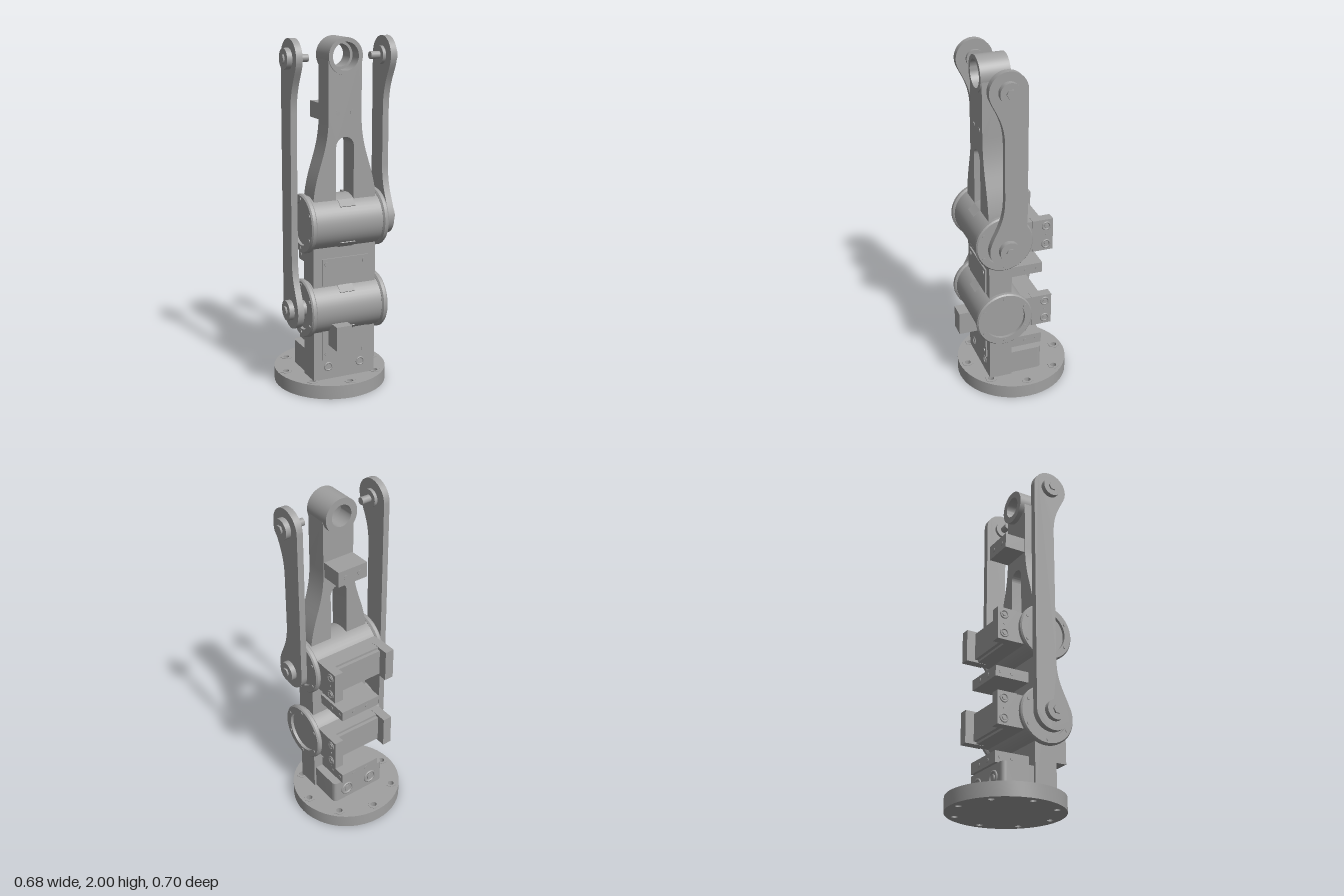
import * as THREE from 'three';
import { toCreasedNormals } from 'three/addons/utils/BufferGeometryUtils.js';

export function createModel() {
  const root = new THREE.Group();
  root.name = 'robotArm';
  // everything is built square to the joint axis (local x), then turned
  const arm = new THREE.Group();
  arm.name = 'turnedAssembly';
  arm.position.set(-0.008, 0, -0.025);
  arm.rotation.y = 1.093;
  root.add(arm);

  const metal = new THREE.MeshStandardMaterial({ color: 0xa0a0a0 });
  metal.name = 'grey metal';

  const add = (name, geo) => {
    const m = new THREE.Mesh(geo, metal);
    m.name = name;
    arm.add(m);
    return m;
  };
  const box = (name, x0, x1, y0, y1, z0, z1) =>
    add(name, new THREE.BoxGeometry(x1 - x0, y1 - y0, z1 - z0)
      .translate((x0 + x1) / 2, (y0 + y1) / 2, (z0 + z1) / 2));
  const rodX = (name, r, xa, xb, y, z, n = 32) =>
    add(name, new THREE.CylinderGeometry(r, r, Math.abs(xb - xa), n)
      .rotateZ(Math.PI / 2).translate((xa + xb) / 2, y, z));
  const rodZ = (name, r, x, y, za, zb, n = 16) =>
    add(name, new THREE.CylinderGeometry(r, r, Math.abs(zb - za), n)
      .rotateX(Math.PI / 2).translate(x, y, (za + zb) / 2));
  const extrude = (shape, depth, segs = 20) => toCreasedNormals(
    new THREE.ExtrudeGeometry(shape, { depth, bevelEnabled: false, curveSegments: segs }), 0.5);
  const ring = pts => toCreasedNormals(
    new THREE.LatheGeometry(pts.map(p => new THREE.Vector2(p[0], p[1])), 48), 0.5);
  const circle = (x, y, r) => new THREE.Path().absarc(x, y, r, 0, Math.PI * 2, true);

  const AXIS_Z = 0.122, LOW = 0.5, HIGH = 0.99, TOP = 1.9;

  // round base with eight holes, each with a hexagonal collar
  const disc = new THREE.Shape().absarc(0, 0, 0.326, 0, Math.PI * 2, false);
  const collar = new THREE.Shape();
  for (let i = 0; i < 6; i++) {
    const a = i * Math.PI / 3;
    collar[i ? 'lineTo' : 'moveTo'](0.036 * Math.cos(a), 0.036 * Math.sin(a));
  }
  collar.holes.push(circle(0, 0, 0.018));
  for (let i = 0; i < 8; i++) {
    const a = i * Math.PI / 4, x = 0.278 * Math.cos(a), y = 0.278 * Math.sin(a);
    disc.holes.push(circle(x, y, 0.018));
    add('baseHoleCollar', extrude(collar, 0.005, 12).rotateX(-Math.PI / 2).translate(x, 0.078, -y));
  }
  add('base', extrude(disc, 0.08, 24).rotateX(-Math.PI / 2));

  // column and its rear foot
  box('column', -0.19, 0.19, 0.08, HIGH, 0.067, 0.2);
  const foot = new THREE.Shape().moveTo(-0.178, 0.07).lineTo(-0.178, -0.095)
    .quadraticCurveTo(-0.178, -0.124, -0.15, -0.124).lineTo(0.15, -0.124)
    .quadraticCurveTo(0.178, -0.124, 0.178, -0.095).lineTo(0.178, 0.07).closePath();
  add('rearFoot', extrude(foot, 0.145).rotateX(Math.PI / 2).translate(0, 0.222, 0));
  for (const s of [-1, 1]) {
    add('footBoltRing', new THREE.TorusGeometry(0.036, 0.007, 8, 24).translate(s * 0.085, 0.15, -0.124));
    rodZ('footBolt', 0.02, s * 0.085, 0.15, -0.12, -0.132, 6);
  }

  // rear lugs on the column and on the upper arm
  for (const [y0, y1, w, z] of [[0.223, 0.287, 0.13, -0.14], [0.708, 0.77, 0.13, -0.14], [1.55, 1.64, 0.093, -0.058]]) {
    box('rearLug', -w, w, y0, y1, z, 0.08);
    for (const s of [-1, 1]) {
      rodZ('lugScrew', 0.014, s * 0.045, (y0 + y1) / 2, z + 0.01, z - 0.003);
      for (const dz of [0.03, 0.1])
        if (y0 < 1) rodX('lugSideScrew', 0.01, s * 0.12, s * (w + 0.003), (y0 + y1) / 2, z + dz, 12);
    }
  }

  // front cover plates, screws and connector block
  box('lowerCover', -0.14, 0.14, 0.2, 0.42, 0.195, 0.209);
  box('middleCover', -0.14, 0.14, 0.64, 0.795, 0.195, 0.209);
  box('connectorBlock', -0.104, -0.01, 0.29, 0.43, 0.195, 0.32);
  for (const s of [-1, 1]) {
    rodZ('coverScrew', 0.012, s * 0.115, 0.235, 0.2, 0.214);
    rodZ('coverScrew', 0.012, s * 0.115, 0.765, 0.2, 0.214);
    add('columnBoltRing', new THREE.TorusGeometry(0.022, 0.005, 8, 20).translate(s * 0.1, 0.155, 0.2));
  }

  // the two joints
  const flange = ring([[0, 0], [0.155, 0], [0.165, 0.008], [0.165, 0.026], [0.158, 0.034],
    [0.12, 0.034], [0.12, 0.016], [0, 0.016]]);
  for (const y of [LOW, HIGH]) {
    rodX('jointBody', 0.153, -0.2, 0.2, y, AXIS_Z, 48);
    box('jointHousing', -0.2, 0.2, y - 0.093, y + 0.093, -0.098, AXIS_Z);
    box('housingPlate', -0.147, 0.147, y - 0.08, y + 0.08, -0.118, -0.09);
    // small rectangular windows on the front of the barrel
    for (const a of [-0.87, 0.87]) {
      const w = add('barrelWindow', new THREE.BoxGeometry(0.09, 0.05, 0.008));
      w.position.set(0, y + 0.151 * Math.sin(a), AXIS_Z + 0.151 * Math.cos(a));
      w.rotation.x = -a;
    }
    for (const s of [-1, 1]) {
      box('housingProng', s > 0 ? 0.148 : -0.203, s > 0 ? 0.203 : -0.148, y - 0.095, y + 0.095, -0.17, -0.05);
      for (const dy of [-0.056, 0.056]) {
        const t = add('prongBoltRing', new THREE.TorusGeometry(0.022, 0.005, 8, 20));
        t.rotation.y = Math.PI / 2;
        t.position.set(s * 0.203, y + dy, -0.13);
        rodX('prongBolt', 0.013, s * 0.2, s * 0.209, y + dy, -0.13, 6);
      }
      rodX('prongPin', 0.006, s * 0.2, s * 0.206, y, -0.13, 10);
      const f = add('jointFlange', flange);
      f.rotation.z = -s * Math.PI / 2;
      f.position.set(s * 0.199, y, AXIS_Z);
      for (let i = 0; i < 6; i++) {
        const a = (i + 0.5) * Math.PI / 3;
        rodX('flangeScrew', 0.01, s * 0.225, s * 0.237, y + 0.139 * Math.sin(a), AXIS_Z + 0.139 * Math.cos(a), 10);
      }
    }
  }

  // tapering upper arm with slot and head opening
  const plate = new THREE.Shape().moveTo(-0.187, 1.0).lineTo(-0.187, 1.14)
    .bezierCurveTo(-0.165, 1.32, -0.1, 1.38, -0.098, 1.58).lineTo(-0.098, TOP)
    .absarc(0, TOP, 0.098, Math.PI, 0, true).lineTo(0.098, 1.58)
    .bezierCurveTo(0.1, 1.38, 0.165, 1.32, 0.187, 1.14).lineTo(0.187, 1.0).closePath();
  plate.holes.push(circle(0, TOP, 0.085));
  plate.holes.push(new THREE.Path().moveTo(-0.053, 1.06).lineTo(0.053, 1.06).lineTo(0.053, 1.415)
    .absarc(0, 1.415, 0.053, 0, Math.PI, false).closePath());
  add('upperArm', extrude(plate, 0.13).translate(0, 0, 0.07));
  add('armHead', ring([[0.062, 0.06], [0.062, 0.04], [0.1, 0.04], [0.1, 0.207], [0.076, 0.207],
    [0.076, 0.13], [0.062, 0.13], [0.062, 0.06]]).rotateX(Math.PI / 2).translate(0, TOP, 0));
  for (const s of [-1, 1])
    rodZ('armScrew', 0.014, s * 0.045, 1.6, 0.19, 0.203);

  // side links: straight at the back, waisted at the front
  const linkShape = yb => {
    const r = 0.106, z = AXIS_Z, a = 0.3, c = r * Math.cos(a), d = r * Math.sin(a);
    return new THREE.Shape().moveTo(z - r, yb).lineTo(z - r, TOP - 0.008)
      .absarc(z, TOP - 0.008, r, Math.PI, -a, true)
      .bezierCurveTo(z + c - 0.02, TOP - d - 0.07, 0.143, TOP - 0.16, 0.143, TOP - 0.3)
      .lineTo(0.143, yb + 0.3)
      .bezierCurveTo(0.143, yb + 0.16, z + c - 0.02, yb + d + 0.07, z + c, yb + d)
      .absarc(z, yb, r, a, -Math.PI, true);
  };
  for (const [s, yb] of [[-1, LOW], [1, HIGH]]) {
    add('sideLink', extrude(linkShape(yb), 0.037).rotateY(-Math.PI / 2).translate(s > 0 ? 0.295 : -0.258, 0, 0));
    for (const y of [yb, TOP - 0.008]) {
      rodX('linkBoss', 0.057, s * 0.29, s * 0.325, y, AXIS_Z);
      rodX('linkNut', 0.026, s * 0.32, s * 0.335, y, AXIS_Z, 6);
      rodX('linkWasher', 0.05, s * 0.24, s * 0.262, y, AXIS_Z);
    }
    rodX('linkSpindle', 0.045, s * 0.21, s * 0.26, yb, AXIS_Z);
    rodX('linkPin', 0.021, s * 0.185, s * 0.26, TOP - 0.008, AXIS_Z, 16);
  }
  return root;
}
